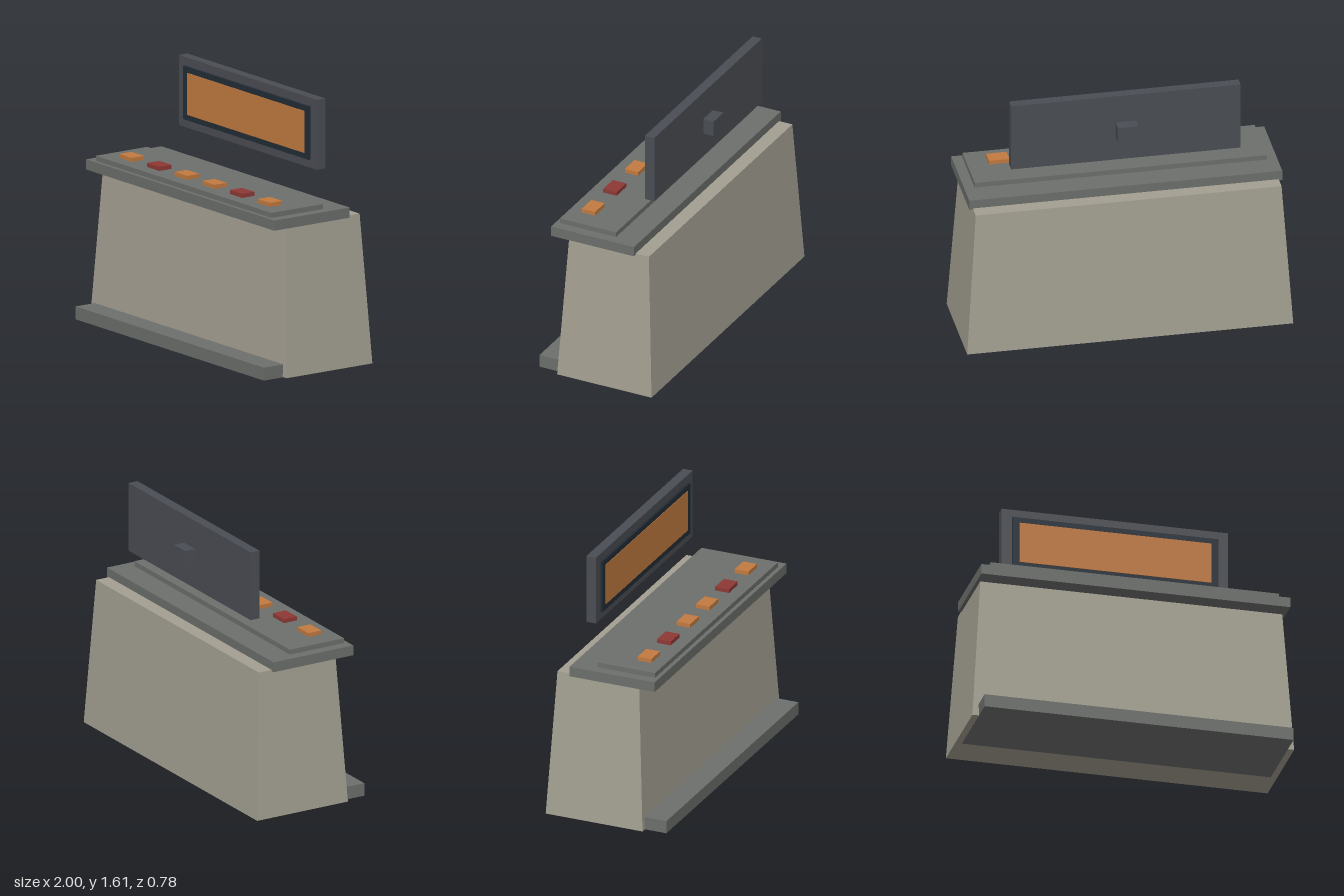
import * as THREE from 'three';

const mat = (name, color) => {
  const m = new THREE.MeshStandardMaterial({ color });
  m.name = name;
  return m;
};

export function createModel() {
  const beige = mat('beige', 0xa39f91);
  const grey = mat('grey', 0x6c6f6c);
  const slate = mat('slate', 0x4a4d53);
  const navy = mat('navy', 0x222c36);
  const orange = mat('orange', 0xc27a40);
  const red = mat('red', 0x8f3934);

  const model = new THREE.Group();
  model.name = 'controlConsole';

  // Box given by its lower and upper limits on each axis
  const box = (name, material, [x0, x1], [y0, y1], [z0, z1], parent = model) => {
    const mesh = new THREE.Mesh(new THREE.BoxGeometry(x1 - x0, y1 - y0, z1 - z0), material);
    mesh.position.set((x0 + x1) / 2, (y0 + y1) / 2, (z0 + z1) / 2);
    mesh.name = name;
    parent.add(mesh);
    return mesh;
  };

  // Cabinet: a box tapering toward the top, base a hair above the plinth's underside
  const cabinet = box('cabinet', beige, [-1, 1], [0.002, 0.925], [-0.39, 0.25]);
  const pos = cabinet.geometry.attributes.position;
  for (let i = 0; i < pos.count; i++) {
    if (pos.getY(i) > 0) {
      pos.setX(i, pos.getX(i) * 0.938);
      pos.setZ(i, pos.getZ(i) * 0.844);
    }
  }
  cabinet.geometry.computeVertexNormals();

  // Plinth, worktop and raised panel
  box('plinth', grey, [-0.96, 0.96], [0, 0.08], [-0.16, 0.39]);
  box('worktop', grey, [-0.96, 0.96], [0.917, 0.98], [-0.25, 0.312]);
  box('controlPanel', grey, [-0.896, 0.896], [0.98, 1.011], [-0.096, 0.286]);

  // Row of buttons
  const buttons = new THREE.Group();
  buttons.name = 'buttons';
  model.add(buttons);
  for (let i = 0; i < 6; i++) {
    const x = (i - 2.5) * 0.282;
    const material = i % 3 === 1 ? red : orange;
    box('button' + (i + 1), material, [x - 0.063, x + 0.063], [1.011, 1.036], [0.113, 0.204], buttons);
  }

  // Floating display with bezel, screen and rear mount
  const display = new THREE.Group();
  display.name = 'display';
  model.add(display);
  box('displayFrame', slate, [-0.704, 0.704], [1.171, 1.605], [-0.255, -0.192], display);
  box('bezel', navy, [-0.64, 0.64], [1.222, 1.552], [-0.192, -0.178], display);
  box('screen', orange, [-0.596, 0.596], [1.257, 1.517], [-0.178, -0.175], display);
  box('rearMount', slate, [-0.063, 0.063], [1.325, 1.425], [-0.326, -0.255], display);

  return model;
}
